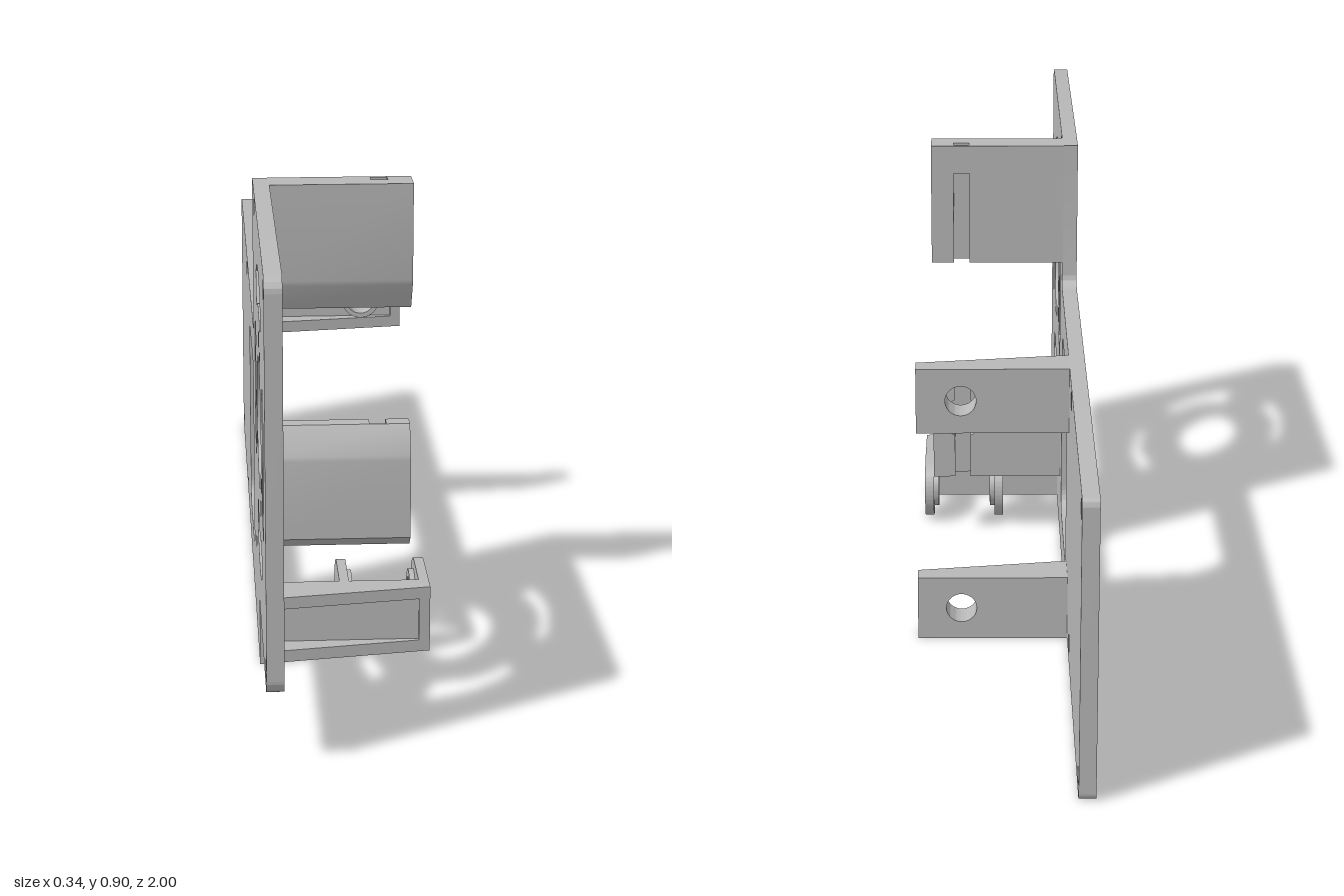
import * as THREE from 'three';
import { toCreasedNormals } from 'three/addons/utils/BufferGeometryUtils.js';

const grey = new THREE.MeshStandardMaterial({ color: 0xb8b8b8 });
grey.name = 'grey plastic';

const poly = (pts) => new THREE.Shape(pts.map(([a, b]) => new THREE.Vector2(a, b)));

function circle(x, y, r, Type = THREE.Path) {
  const p = new Type();
  p.absarc(x, y, r, 0, Math.PI * 2, false);
  return p;
}

function roundRect(x0, y0, x1, y1, r) {
  const p = new THREE.Path(), H = Math.PI / 2;
  p.absarc(x1 - r, y1 - r, r, 0, H, false);
  p.absarc(x0 + r, y1 - r, r, H, 2 * H, false);
  p.absarc(x0 + r, y0 + r, r, 2 * H, 3 * H, false);
  p.absarc(x1 - r, y0 + r, r, 3 * H, 4 * H, false);
  p.closePath();
  return p;
}

const extrude = (shape, depth) =>
  new THREE.ExtrudeGeometry(shape, { depth, bevelEnabled: false, curveSegments: 20 });

function add(parent, name, geo) {
  const mesh = new THREE.Mesh(toCreasedNormals(geo, 0.5), grey);
  mesh.name = name;
  parent.add(mesh);
  return mesh;
}

// shape drawn as (-z, y), extruded along x
const alongX = (shape, x0, x1) => extrude(shape, x1 - x0).rotateY(Math.PI / 2).translate(x0, 0, 0);
// shape drawn as (x, y), extruded along z
const alongZ = (shape, z0, z1) => extrude(shape, z1 - z0).translate(0, 0, z0);
// shape drawn as (x, z), extruded along y
const alongY = (shape, y0, y1) => extrude(shape, y1 - y0).rotateX(Math.PI / 2).translate(0, y1, 0);

function mountingPlate(group) {
  const H = Math.PI / 2, r = 0.03;
  const s = new THREE.Shape();
  s.moveTo(-0.54, 0.137);
  s.lineTo(-0.54, 0);
  s.absarc(1 - 0.015, 0.015, 0.015, -H, 0, false);
  s.absarc(1 - 0.015, 0.57, 0.015, 0, H, false);
  s.absarc(-0.22 + r, 0.585 + r, r, -H, -2 * H, true);
  s.lineTo(-0.22, 0.9);
  s.absarc(-1 + r, 0.9 - r, r, H, 2 * H, false);
  s.absarc(-1 + r, 0.137 + r, r, 2 * H, 3 * H, false);
  s.closePath();

  // window and central opening
  const cx = -0.61, cy = 0.52;
  s.holes.push(roundRect(-0.16, 0.09, 0.177, 0.498, 0.05), circle(cx, cy, 0.125));
  // screw holes around the opening
  for (const deg of [0, 90, 120, 210, 240, 330]) {
    const a = THREE.MathUtils.degToRad(deg);
    s.holes.push(circle(cx + 0.163 * Math.cos(a), cy + 0.163 * Math.sin(a), 0.018));
  }
  // arc slots
  for (let i = 0; i < 4; i++) {
    const a = i * H, p = new THREE.Path();
    p.absarc(cx, cy, 0.294, a - 0.53, a + 0.53, false);
    p.absarc(cx, cy, 0.222, a + 0.53, a - 0.53, true);
    p.closePath();
    s.holes.push(p);
  }
  // corner holes
  for (const u of [-0.97, -0.35]) for (const y of [0.175, 0.868]) s.holes.push(circle(u, y, 0.02));
  for (const u of [0.42, 0.963]) for (const y of [0.035, 0.553]) s.holes.push(circle(u, y, 0.019));
  add(group, 'mountingPlate', alongX(s, -0.17, -0.138));
}

// upright wall: shaped front layer, grooved back layer
function wall(group, name, front, y0, y1, round) {
  const g = new THREE.Group();
  g.name = name;
  const c = 0.08, w = 0.017, r = 0.045, cy = 0.28;
  add(g, 'wallFront', alongX(poly(front.map(([z, y]) => [-z, y])), -0.14, 0.145));
  for (const [side, end] of [[-1, -0.14], [1, 0.145]]) {
    const pts = [[end, y0], [c + side * w, y0]];
    const t = Math.acos(w / r);
    if (round) for (let i = 0; i <= 16; i++) {
      const a = -t + (2 * t * i) / 16;
      pts.push([c + side * r * Math.cos(a), cy + r * Math.sin(a)]);
    }
    pts.push([c + side * w, y1], [end, y1]);
    add(g, 'wallBack', alongZ(poly(pts), 0.217, 0.247));
  }
  // bridge closing the top of the groove
  if (!round) add(g, 'grooveBridge', new THREE.BoxGeometry(2 * w, 0.06, 0.009).translate(c, y1 - 0.03, 0.2215));
  group.add(g);
}

// tapered channel arm, standing on local y = 0 with its back at local z = 0
function arm(group, name, y, z, pierced) {
  const g = new THREE.Group();
  g.name = name;
  const h = 0.135, rib = 0.024;
  const taper = [[-0.14, 0], [0.167, 0], [0.167, 0.04], [-0.14, 0.085]];
  for (const b of [0, h - rib]) add(g, 'rib', alongY(poly(taper), b, b + rib));
  add(g, 'tip', alongY(poly([[0.145, 0], [0.167, 0], [0.167, 0.04], [0.145, 0.0432]]), rib, h - rib));
  const web = poly([[-0.14, rib], [0.145, rib], [0.145, h - rib], [-0.14, h - rib]]);
  if (pierced) {
    web.holes.push(circle(0.078, 0.068, 0.031));
    const ring = circle(0.078, 0.068, 0.041, THREE.Shape);
    ring.holes.push(circle(0.078, 0.068, 0.031));
    add(g, 'boss', alongZ(ring, 0.035, 0.063));
  }
  add(g, 'web', alongZ(web, 0, 0.035));
  g.position.set(0, y, z);
  group.add(g);
}

// rounded hinge ear with a raised ring on its inner face
function ear(group, x0, x1, ringX) {
  const s = new THREE.Shape();
  s.moveTo(-0.45, 0);
  s.absarc(-0.343, 0.0675, 0.0675, -Math.PI / 2, Math.PI / 2, false);
  s.lineTo(-0.45, 0.135);
  s.closePath();
  s.holes.push(circle(-0.343, 0.0675, 0.03));
  add(group, 'hingeEar', alongX(s, x0, x1));
  const ring = circle(-0.343, 0.0675, 0.046, THREE.Shape);
  ring.holes.push(circle(-0.343, 0.0675, 0.03));
  add(group, 'hingeRing', alongX(ring, ringX, ringX + 0.011));
}

export function createModel() {
  const model = new THREE.Group();
  model.name = 'mountingBracket';
  mountingPlate(model);

  // upright walls
  wall(model, 'upperWall',
    [[0.247, 0.64], [0.247, 0.9], [0.286, 0.9], [0.286, 0.705], [0.284, 0.695], [0.25, 0.64]], 0.64, 0.9, false);
  wall(model, 'lowerWall',
    [[0.247, 0.14], [0.247, 0.395], [0.25, 0.395], [0.284, 0.338], [0.286, 0.328], [0.286, 0.162], [0.262, 0.14]],
    0.14, 0.395, true);

  // arms
  arm(model, 'upperArm', 0.45, -0.325, true);
  arm(model, 'lowerArm', 0, -0.325, true);
  arm(model, 'hingeArm', 0, 0.45, false);

  // hinge ears
  ear(model, -0.01, 0.009, 0.009);
  ear(model, 0.147, 0.167, 0.136);
  return model;
}
